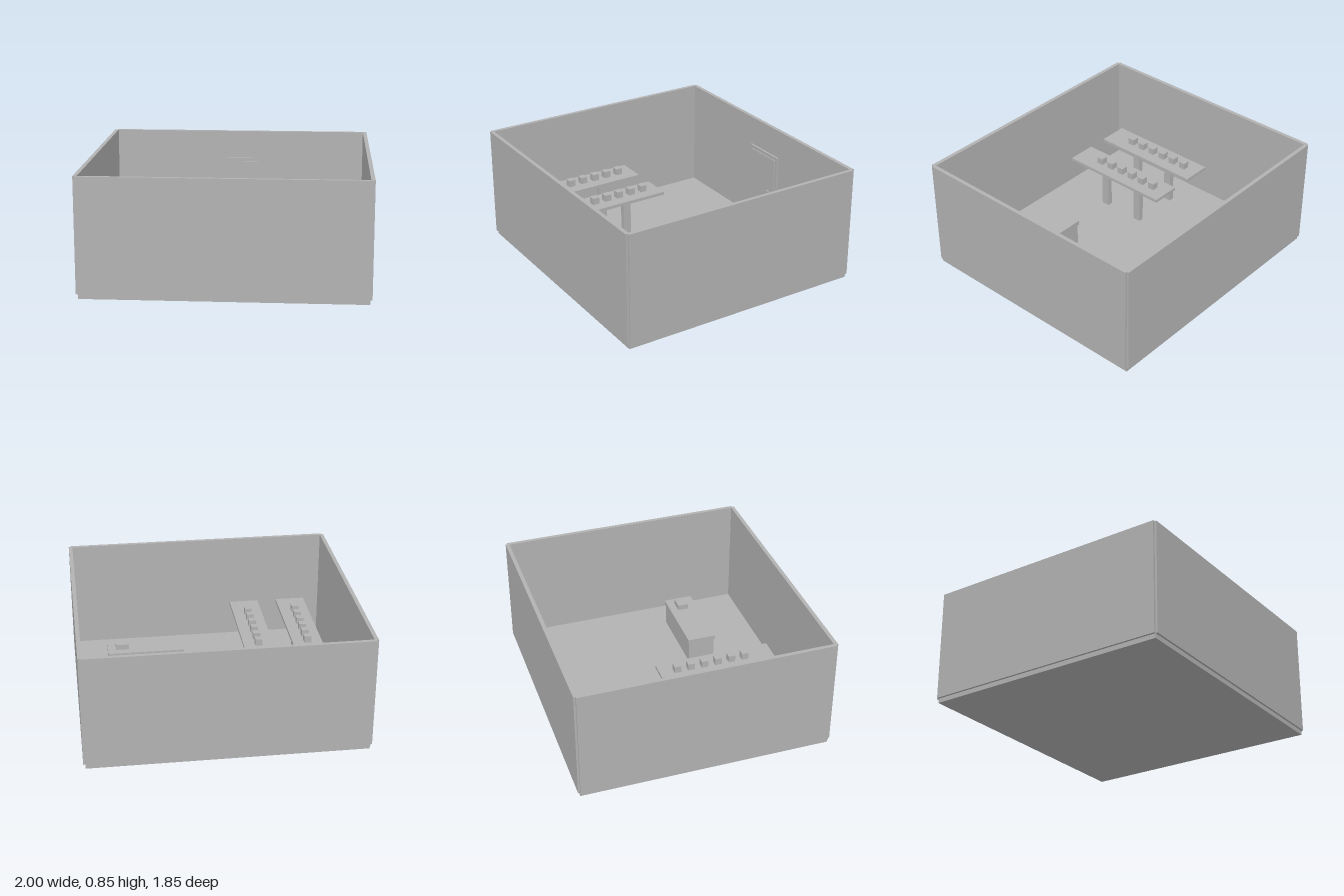
import * as THREE from 'three';

export function createModel() {
  const room = new THREE.Group();
  room.name = 'room';
  const grey = new THREE.MeshStandardMaterial({ color: 0xb2b2b2 });
  grey.name = 'plain grey';

  // Box given by its extents along x, y and z
  const box = (name, [x0, x1], [y0, y1], [z0, z1], parent = room) => {
    const mesh = new THREE.Mesh(new THREE.BoxGeometry(x1 - x0, y1 - y0, z1 - z0), grey);
    mesh.position.set((x0 + x1) / 2, (y0 + y1) / 2, (z0 + z1) / 2);
    mesh.name = name;
    parent.add(mesh);
    return mesh;
  };
  const group = (name) => {
    const g = new THREE.Group();
    g.name = name;
    room.add(g);
    return g;
  };

  // Floor slab and four walls straddling its edges
  const floorTop = 0.033, wallTop = 0.85;
  box('floor', [-0.985, 0.985], [0, floorTop], [-0.908, 0.908]);
  const wallY = [floorTop, wallTop];
  box('leftWall', [0.972, 1], wallY, [-0.908, 0.908]);
  box('rightWall', [-1, -0.972], wallY, [-0.908, 0.908]);
  box('frontWall', [-0.985, 0.985], wallY, [0.895, 0.923]);
  box('backWall', [-0.985, 0.985], wallY, [-0.923, -0.895]);

  // Door on the back wall
  const door = group('door');
  box('doorFrame', [-0.168, 0.168], [floorTop, 0.635], [-0.9, -0.88], door);
  box('doorPanel', [-0.145, 0.145], [floorTop, 0.61], [-0.89, -0.872], door);
  box('doorHandle', [0.068, 0.1], [0.318, 0.34], [-0.875, -0.861], door);

  // Two long benches, each with a row of six small blocks
  for (const cx of [-0.709, -0.343]) {
    const bench = group('bench');
    box('benchTop', [cx - 0.11, cx + 0.11], [0.367, 0.39], [-0.13, 0.727], bench);
    for (const z of [0.14, 0.46])
      box('benchSupport', [cx - 0.02, cx + 0.02], [floorTop, 0.367], [z - 0.03, z + 0.03], bench);
    for (let i = 0; i < 6; i++) {
      const z = -0.003 + i * 0.1025;
      box('benchBlock', [cx - 0.026, cx + 0.026], [0.39, 0.44], [z - 0.025, z + 0.025], bench);
    }
  }

  // Low desk with a box on it
  const desk = group('desk');
  box('deskTop', [0.182, 0.754], [0.2, 0.235], [0.27, 0.484], desk);
  box('deskBody', [0.19, 0.746], [floorTop, 0.2], [0.278, 0.476], desk);
  box('deskBox', [0.594, 0.692], [0.235, 0.275], [0.33, 0.41], desk);

  return room;
}
